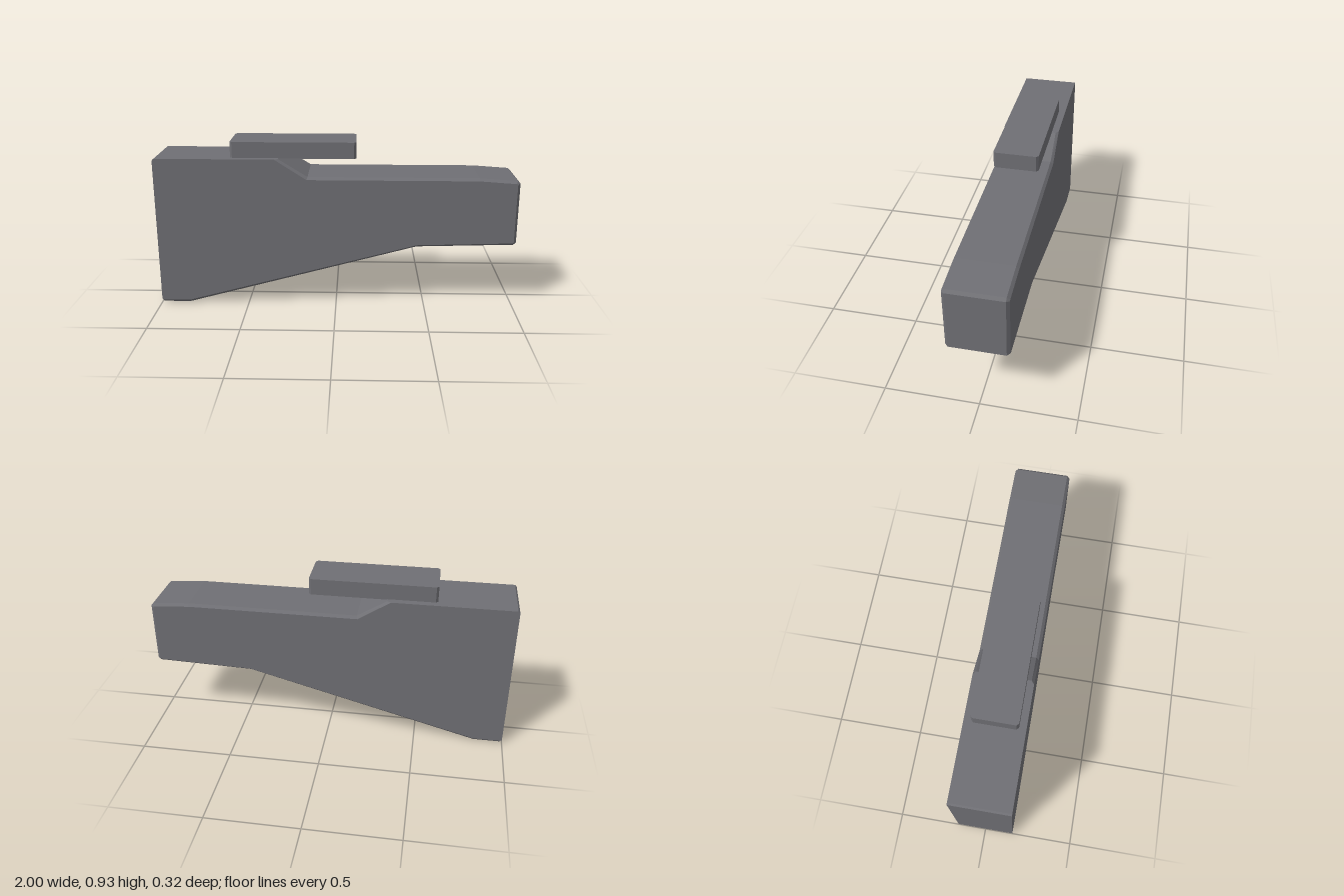
import * as THREE from 'three';

const grey = new THREE.MeshStandardMaterial({ color: 0x6f6f74 });
grey.name = 'grey';
grey.flatShading = true;

// Side profile as [x, y, inset x, inset y]; the inset point lies on the outer
// side face, so equal points leave that edge sharp and others get a chamfer.
const profile = [
  [-0.99, 0, -0.99, 0.015],
  [-0.84, 0, -0.84, 0.015],
  [0.45, 0.35, 0.45, 0.362],
  [0.985, 0.365, 0.98, 0.378],
  [1, 0.378, 0.985, 0.382],
  [1, 0.718, 0.985, 0.712],
  [0.985, 0.732, 0.98, 0.718],
  [0.78, 0.746, 0.78, 0.732],
  [-0.155, 0.746, -0.16, 0.732],
  [-0.315, 0.845, -0.335, 0.845],
  [-0.99, 0.845, -0.99, 0.845],
  [-1, 0.835, -1, 0.835],
  [-1, 0.015, -1, 0.02],
];

// Lofts the profile through four z stations and caps both sides
function bodyGeometry(halfWidth, bevel) {
  const outer = profile.map(p => new THREE.Vector2(p[0], p[1]));
  const inset = profile.map(p => new THREE.Vector2(p[2], p[3]));
  const stations = [
    [inset, halfWidth], [outer, halfWidth - bevel],
    [outer, bevel - halfWidth], [inset, -halfWidth],
  ];
  const positions = [];
  const put = (p, z) => positions.push(p.x, p.y, z);

  for (let s = 0; s < 3; s++) {
    const [a, za] = stations[s];
    const [b, zb] = stations[s + 1];
    for (let i = 0; i < a.length; i++) {
      const j = (i + 1) % a.length;
      put(a[i], za); put(b[i], zb); put(b[j], zb);
      put(a[i], za); put(b[j], zb); put(a[j], za);
    }
  }
  for (const [i, j, k] of THREE.ShapeUtils.triangulateShape(inset, [])) {
    put(inset[i], halfWidth); put(inset[j], halfWidth); put(inset[k], halfWidth);
    put(inset[k], -halfWidth); put(inset[j], -halfWidth); put(inset[i], -halfWidth);
  }
  const geometry = new THREE.BufferGeometry();
  geometry.setAttribute('position', new THREE.Float32BufferAttribute(positions, 3));
  geometry.computeVertexNormals();
  return geometry;
}

// Upright slab with its four vertical corners cut off
function slabGeometry(length, height, width, cut) {
  const x = length / 2, z = width / 2;
  const outline = [
    [x - cut, -z], [x, cut - z], [x, z - cut], [x - cut, z],
    [cut - x, z], [-x, z - cut], [-x, cut - z], [cut - x, -z],
  ].map(p => new THREE.Vector2(...p));
  return new THREE.ExtrudeGeometry(new THREE.Shape(outline), { depth: height, bevelEnabled: false })
    .rotateX(-Math.PI / 2);
}

export function createModel() {
  const model = new THREE.Group();
  model.name = 'model';

  const body = new THREE.Mesh(bodyGeometry(0.16, 0.015), grey);
  body.name = 'body';

  // Flat plate resting on the raised end and overhanging the step
  const plate = new THREE.Mesh(slabGeometry(0.69, 0.09, 0.244, 0.012), grey);
  plate.name = 'topPlate';
  plate.position.set(-0.235, 0.842, 0);

  model.add(body, plate);
  return model;
}
